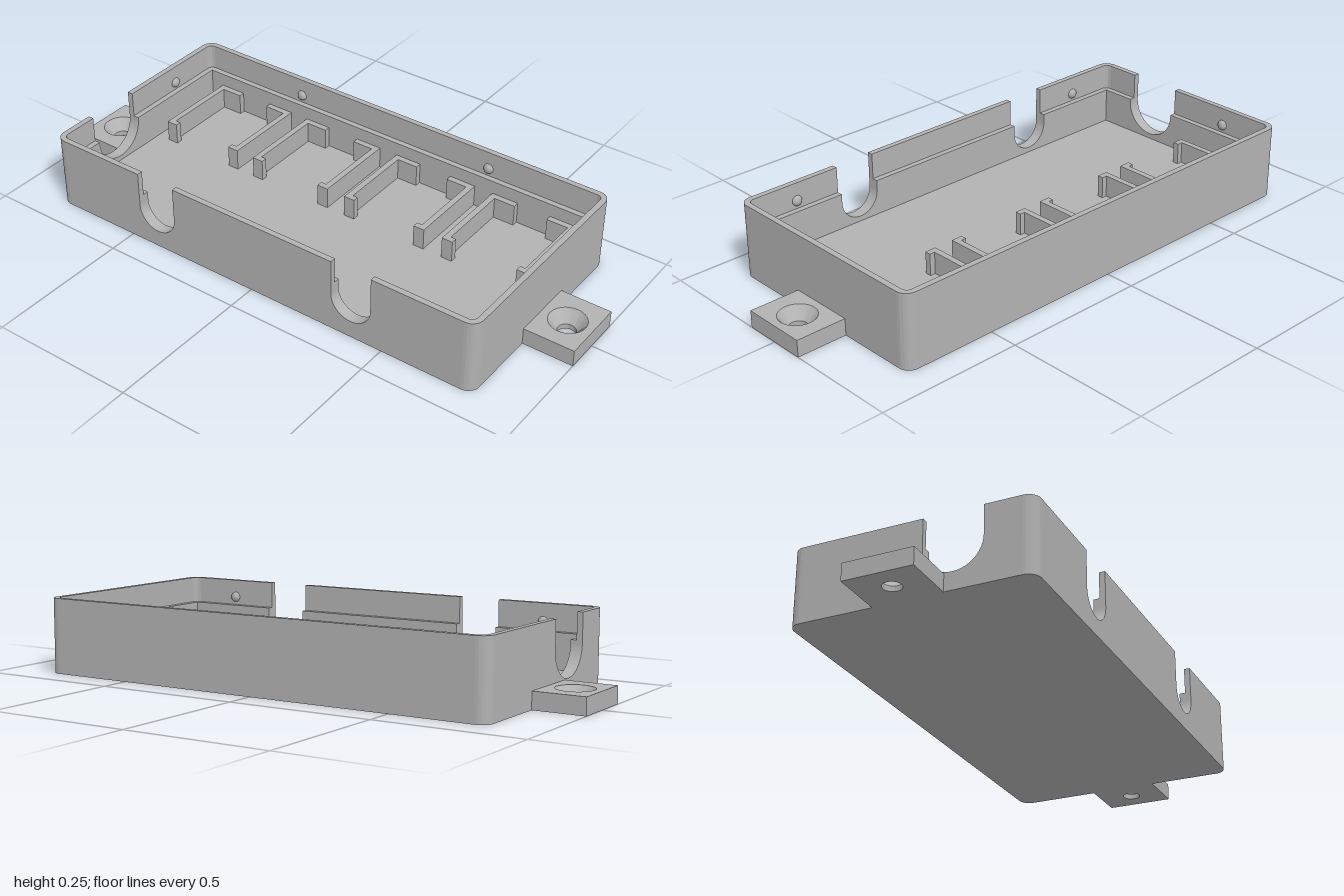
import * as THREE from 'three';
import { toCreasedNormals } from 'three/addons/utils/BufferGeometryUtils.js';

const W = 0.825, D = 0.4, H = 0.255;      // half width, half depth, height
const WALL = 0.04, LIP = 0.02;            // full wall and thin upper lip
const LEDGE = 0.165, FLOOR = 0.042;

const grey = new THREE.MeshStandardMaterial({ color: 0xb2b2b2 });
grey.name = 'greyPlastic';

function mesh(name, geometry, x = 0, y = 0, z = 0) {
  const m = new THREE.Mesh(geometry, grey);
  m.name = name;
  m.position.set(x, y, z);
  return m;
}

function extrude(shape, depth) {
  const g = new THREE.ExtrudeGeometry(shape, { depth, bevelEnabled: false, curveSegments: 24 });
  return toCreasedNormals(g, 0.5);
}

// Extrude a plan shape upwards (shape y becomes -z)
const extrudeUp = (shape, height) => extrude(shape, height).rotateX(-Math.PI / 2);

// Upright wall outline with U-shaped notches open at the top
function wallShape(half, height, notches) {
  const s = new THREE.Shape();
  s.moveTo(-half, 0);
  s.lineTo(half, 0);
  s.lineTo(half, height);
  for (const { u, r, bottom } of [...notches].sort((a, b) => b.u - a.u)) {
    s.lineTo(u + r, height);
    s.lineTo(u + r, bottom + r);
    s.absarc(u, bottom + r, r, 0, -Math.PI, true);
    s.lineTo(u - r, height);
  }
  s.lineTo(-half, height);
  s.closePath();
  return s;
}

// One wall: tall outer skin, lower inner skin forming the ledge, snap bumps
function makeWall(name, half, dist, angle, notches, bumps) {
  const g = new THREE.Group();
  g.name = name;
  g.add(mesh('outerSkin', extrude(wallShape(half, H, notches), LIP), 0, 0, dist - LIP));
  g.add(mesh('innerSkin', extrude(wallShape(half, LEDGE, notches), WALL - LIP), 0, 0, dist - WALL));
  for (const u of bumps) {
    const b = mesh('snapBump', new THREE.SphereGeometry(0.018, 20, 14), u, 0.193, dist - LIP);
    b.scale.z = 0.75;
    g.add(b);
  }
  g.rotation.y = angle;
  return g;
}

// Rounded corner post: solid to the ledge, thin lip above
function makeCorner(sx, sz, angle) {
  const g = new THREE.Group();
  g.name = 'corner';
  const pie = new THREE.Shape();
  pie.moveTo(0, 0);
  pie.lineTo(WALL, 0);
  pie.absarc(0, 0, WALL, 0, Math.PI / 2, false);
  pie.closePath();
  const ring = new THREE.Shape();
  ring.moveTo(LIP, 0);
  ring.lineTo(WALL, 0);
  ring.absarc(0, 0, WALL, 0, Math.PI / 2, false);
  ring.lineTo(0, LIP);
  ring.absarc(0, 0, LIP, Math.PI / 2, 0, true);
  g.add(mesh('cornerPost', extrudeUp(pie, LEDGE)));
  g.add(mesh('cornerLip', extrudeUp(ring, H - LEDGE), 0, LEDGE, 0));
  g.position.set(sx * (W - WALL), 0, sz * (D - WALL));
  g.rotation.y = angle;
  return g;
}

// Mounting ear with a countersunk screw hole
function makeEar(side) {
  const g = new THREE.Group();
  g.name = side > 0 ? 'leftEar' : 'rightEar';
  const len = 1 - W, half = 0.115, top = 0.058, mid = 0.018;
  const plate = r => {
    const s = new THREE.Shape();
    s.moveTo(-len / 2, -half);
    s.lineTo(len / 2, -half);
    s.lineTo(len / 2, half);
    s.lineTo(-len / 2, half);
    s.closePath();
    s.holes.push(new THREE.Path().absarc(0, 0, r, 0, Math.PI * 2, true));
    return s;
  };
  g.add(mesh('earBase', extrudeUp(plate(0.03), mid)));
  g.add(mesh('earTop', extrudeUp(plate(0.062), top - mid), 0, mid, 0));
  const profile = [[0.03, mid], [0.062, mid], [0.062, top], [0.03, mid]]
    .map(p => new THREE.Vector2(...p));
  g.add(mesh('countersink', toCreasedNormals(new THREE.LatheGeometry(profile, 48), 0.5)));
  g.position.x = side * (W + len / 2);
  return g;
}

// C-shaped holder rail standing on the floor; dir points into its bay
function makeRail(x, dir) {
  const t = 0.021, top = 0.118, back = -D + WALL, front = -0.054;
  const s = new THREE.Shape();
  const pts = [[0, back], [0.097, back], [0.097, back + t], [t, back + t],
    [t, front - t], [0.04, front - t], [0.04, front], [0, front]];
  const plan = pts.map(([u, z]) => new THREE.Vector2(u * dir, -z));
  s.setFromPoints(plan);
  return mesh('holderRail', extrudeUp(s, top - FLOOR), x, FLOOR, 0);
}

export function createModel() {
  const model = new THREE.Group();
  model.name = 'enclosureBase';

  // Floor
  model.add(mesh('floor', new THREE.BoxGeometry(2 * (W - WALL), FLOOR, 2 * (D - WALL)), 0, FLOOR / 2, 0));

  // Walls with cable notches
  const hx = W - WALL, hz = D - WALL, q = Math.PI / 2;
  const cable = [-0.386, 0.386].map(u => ({ u, r: 0.073, bottom: 0.06 }));
  const plug = [{ u: 0.141, r: 0.098, bottom: 0.06 }];
  model.add(makeWall('frontWall', hx, D, 0, cable, [-0.622, 0.622]));
  model.add(makeWall('backWall', hx, D, 2 * q, [], [-0.386, 0.386]));
  model.add(makeWall('leftWall', hz, W, q, [], [0.18]));
  model.add(makeWall('rightWall', hz, W, -q, plug, [-0.18]));

  // Corners
  model.add(makeCorner(1, -1, 0), makeCorner(-1, -1, q), makeCorner(-1, 1, 2 * q), makeCorner(1, 1, -q));

  // Four bays of paired rails
  for (let i = 0; i < 4; i++) {
    const c = -0.5785 + i * 0.385;
    for (const s of [-1, 1]) model.add(makeRail(c + s * 0.158, -s));
  }

  // Mounting ears
  for (const s of [-1, 1]) model.add(makeEar(s));
  return model;
}
